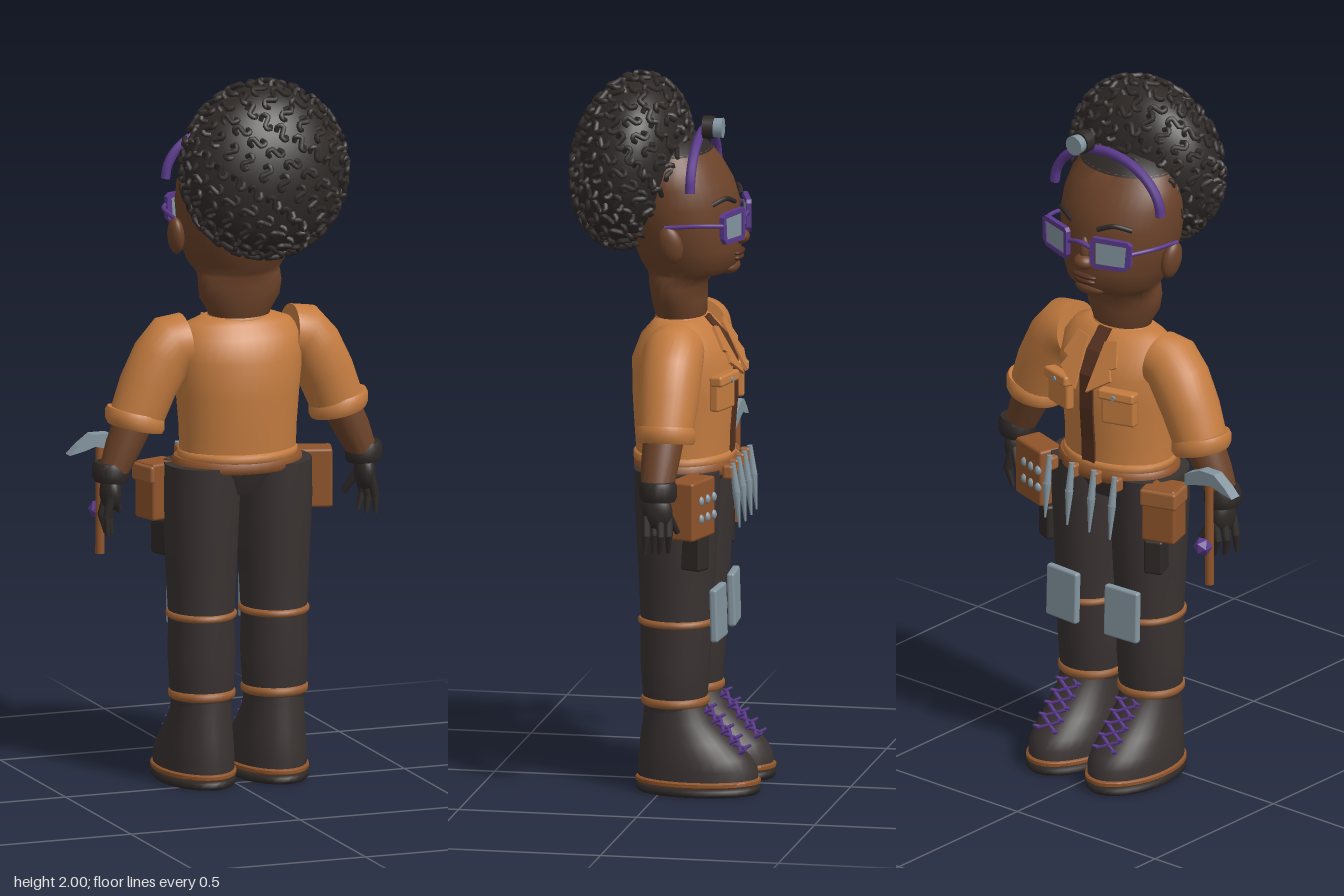
import * as THREE from 'three';
import { mergeGeometries, toCreasedNormals } from 'three/addons/utils/BufferGeometryUtils.js';
import { RoundedBoxGeometry } from 'three/addons/geometries/RoundedBoxGeometry.js';

const paint = (name, color) => Object.assign(new THREE.MeshStandardMaterial({ color }), { name });
const V = (x, y, z) => new THREE.Vector3(x, y, z);

export function createModel() {
  const skin = paint('skin', 0x6b4229), orange = paint('shirt orange', 0xc47c40), brown = paint('leather brown', 0x8f542b);
  const dark = paint('trouser charcoal', 0x393231), black = paint('hair black', 0x2e2927), purple = paint('purple', 0x5b3a8c);
  const silver = paint('silver', 0x84959f), lip = paint('lip brown', 0x54301f), strap = paint('strap brown', 0x9c6034);

  const model = new THREE.Group();
  const body = new THREE.Group();
  body.name = 'figure';
  body.position.x = 0.022;
  model.add(body);

  const add = (name, geo, mat, p = [0, 0, 0], r = [0, 0, 0], s = [1, 1, 1]) => {
    const m = new THREE.Mesh(geo, mat);
    m.name = name;
    m.position.set(...p); m.rotation.set(...r); m.scale.set(...s);
    body.add(m);
    return m;
  };

  // closed skin over elliptical rings [y, halfWidth, zFront, zBack, x, tilt], bottom to top
  const loft = (name, mat, rings, seg = 32) => {
    const all = [[...rings[0]], ...rings, [...rings[rings.length - 1]]];
    for (const e of [all[0], all[all.length - 1]]) { e[1] = 0.0001; e[2] = e[3] = (e[2] + e[3]) / 2; }
    const pos = [], idx = [];
    all.forEach(([y, rx, zf, zb, x = 0, t = 0], i) => {
      for (let j = 0; j < seg; j++) {
        const a = j / seg * Math.PI * 2, c = rx * Math.cos(a);
        pos.push(x + c * Math.cos(t), y + c * Math.sin(t), (zf + zb) / 2 + (zb - zf) / 2 * Math.sin(a));
        if (i < all.length - 1) {
          const p = i * seg + j, q = i * seg + (j + 1) % seg;
          idx.push(p, p + seg, q, q, p + seg, q + seg);
        }
      }
    });
    const g = new THREE.BufferGeometry();
    g.setAttribute('position', new THREE.Float32BufferAttribute(pos, 3));
    g.setIndex(idx);
    return add(name, toCreasedNormals(g, 0.9), mat);
  };
  const band = (name, mat, y, h, rx, zf, zb, x = 0, t = 0) => loft(name, mat,
    [[y - h, rx - 0.006, zf + 0.006, zb - 0.006, x, t], [y - h / 2, rx, zf, zb, x, t],
      [y + h / 2, rx, zf, zb, x, t], [y + h, rx - 0.006, zf + 0.006, zb - 0.006, x, t]]);
  const ball = (name, mat, p, s, r) => add(name, new THREE.SphereGeometry(1, 24, 16), mat, p, r, s);
  const box = (name, mat, p, [w, h, d], r, round = 0.008) =>
    add(name, new RoundedBoxGeometry(w, h, d, 2, Math.min(round, w / 3, h / 3, d / 3)), mat, p, r);
  const rod = (name, mat, a, b, r0, r1 = r0, sides = 10) => {
    const p = V(...a), q = V(...b), d = q.clone().sub(p);
    const m = add(name, new THREE.CylinderGeometry(r1, r0, d.length(), sides), mat, p.clone().add(q).multiplyScalar(0.5).toArray());
    m.quaternion.setFromUnitVectors(V(0, 1, 0), d.normalize());
    return m;
  };
  const tube = (name, mat, pts, r, n = 24) =>
    add(name, new THREE.TubeGeometry(new THREE.CatmullRomCurve3(pts.map(p => V(...p))), n, r, 8), mat);
  const plate = (pts, depth) => new THREE.ExtrudeGeometry(new THREE.Shape(pts.map(p => new THREE.Vector2(...p))), { depth, bevelEnabled: false });

  // head and neck
  loft('head', skin, [[1.27, 0.075, -0.08, 0.02], [1.33, 0.09, -0.1, 0.045], [1.37, 0.115, -0.1, 0.052], [1.41, 0.12, -0.1, 0.058],
    [1.437, 0.118, -0.12, 0.06], [1.447, 0.12, -0.165, 0.065], [1.47, 0.136, -0.188, 0.08], [1.52, 0.157, -0.196, 0.1],
    [1.58, 0.172, -0.19, 0.12], [1.64, 0.178, -0.191, 0.13], [1.7, 0.177, -0.172, 0.13], [1.75, 0.166, -0.142, 0.12], [1.79, 0.14, -0.11, 0.1]], 40);
  loft('hairline', black, [[1.785, 0.145, -0.115, 0.1], [1.815, 0.11, -0.085, 0.08], [1.835, 0.05, -0.045, 0.05]]);
  ball('nose', skin, [0, 1.545, -0.193], [0.03, 0.022, 0.028]);
  ball('noseBridge', skin, [0, 1.58, -0.186], [0.015, 0.04, 0.018]);
  ball('upperLip', lip, [0, 1.503, -0.19], [0.042, 0.009, 0.016]);
  ball('lowerLip', lip, [0, 1.488, -0.188], [0.036, 0.01, 0.016]);
  ball('chin', skin, [0, 1.462, -0.165], [0.05, 0.022, 0.028]);

  // hair puff covered with small curls
  const puff = new THREE.Group();
  puff.name = 'hairPuff';
  puff.position.set(0.023, 1.75, 0.105);
  puff.rotation.x = -0.17;
  body.add(puff);
  const R = V(0.228, 0.234, 0.152);
  const core = new THREE.Mesh(new THREE.SphereGeometry(1, 40, 28), black);
  core.name = 'hairCore'; core.scale.copy(R);
  const curl = new THREE.TubeGeometry(new THREE.CatmullRomCurve3([V(-0.014, -0.006, -0.004), V(-0.022, 0.006, 0.008),
    V(-0.008, 0.013, 0.011), V(0.002, 0, 0.011), V(0.012, -0.012, 0.011), V(0.023, -0.004, 0.008), V(0.015, 0.008, -0.004)]), 14, 0.0075, 6);
  const curls = [], N = 190;
  for (let i = 0; i < N; i++) {
    const y = 1 - (i + 0.5) / N * 2, a = i * 2.39996, w = Math.sqrt(1 - y * y);
    const d = V(w * Math.cos(a), y, w * Math.sin(a));
    const q = new THREE.Quaternion().setFromUnitVectors(V(0, 0, 1), d.clone().divide(R).normalize());
    q.multiply(new THREE.Quaternion().setFromAxisAngle(V(0, 0, 1), i * 1.7));
    curls.push(curl.clone().applyMatrix4(new THREE.Matrix4().compose(d.multiply(R), q, V(1, 1, 1))));
  }
  const curlMesh = new THREE.Mesh(mergeGeometries(curls), black);
  curlMesh.name = 'hairCurls';
  puff.add(core, curlMesh);

  // headband with lamp
  const arc = [];
  for (let i = 0; i <= 12; i++) { const a = Math.PI * i / 12; arc.push([0.192 * Math.cos(a), 1.7 + 0.14 * Math.sin(a), -0.092]); }
  tube('headband', purple, arc, 0.014, 40);
  rod('lampHousing', black, [0.066, 1.862, -0.105], [0.066, 1.862, -0.135], 0.032, 0.032, 20);
  rod('lampLens', silver, [0.066, 1.862, -0.134], [0.066, 1.862, -0.16], 0.026, 0.028, 20);

  // shirt
  const torso = [[0.93, 0.165, -0.17, 0.093], [1, 0.166, -0.172, 0.098], [1.1, 0.174, -0.18, 0.104], [1.2, 0.184, -0.18, 0.105],
    [1.265, 0.18, -0.15, 0.08], [1.3, 0.15, -0.115, 0.05], [1.318, 0.1, -0.1, 0.035]];
  loft('shirt', orange, torso, 40);
  band('collar', orange, 1.31, 0.012, 0.092, -0.102, 0.042);
  const front = torso.map(r => [0.005 - r[2], r[0]]);
  add('undershirt', plate([...front, [0.03, 1.318], [0.03, 0.93]], 0.045), lip, [-0.0225, 0, 0], [0, Math.PI / 2, 0]);
  band('shirtHem', orange, 0.93, 0.014, 0.17, -0.178, 0.102);
  band('belt', brown, 0.906, 0.018, 0.185, -0.185, 0.1);
  loft('hips', dark, [[0.82, 0.12, -0.12, 0.04], [0.88, 0.18, -0.15, 0.07], [0.91, 0.18, -0.16, 0.08]]);

  for (const s of [1, -1]) {
    // face details
    ball('ear', skin, [s * 0.183, 1.55, -0.035], [0.022, 0.054, 0.034], [0.2, 0, s * -0.1]);
    tube('eyebrow', black, [[s * 0.045, 1.652, -0.188], [s * 0.09, 1.668, -0.172], [s * 0.13, 1.655, -0.14]], 0.007);
    const rim = new THREE.Shape([[-0.06, -0.032], [-0.05, -0.046], [0.045, -0.042], [0.062, -0.025], [0.064, 0.036], [0.052, 0.046], [-0.052, 0.046], [-0.06, 0.036]].map(p => new THREE.Vector2(s * p[0], p[1])));
    rim.holes.push(new THREE.Path([[-0.045, -0.032], [0.044, -0.029], [0.049, 0.032], [-0.046, 0.032]].map(p => new THREE.Vector2(s * p[0], p[1]))));
    add('glassesRim', new THREE.ExtrudeGeometry(rim, { depth: 0.014, bevelEnabled: false }), purple, [s * 0.1, 1.592, -0.2], [0, s * -0.3, 0]);
    box('glassesLens', silver, [s * 0.1, 1.592, -0.192], [0.096, 0.068, 0.008], [0, s * -0.3, 0]);
    tube('glassesTemple', purple, [[s * 0.16, 1.605, -0.178], [s * 0.186, 1.608, -0.12], [s * 0.19, 1.6, -0.02]], 0.006);

    // lapel and chest pocket
    add('lapel', plate([[s * 0.02, -0.07], [s * 0.09, -0.02], [s * 0.075, 0.01], [s * 0.095, 0.02], [s * 0.07, 0.09], [s * 0.03, 0.08]], 0.008), orange,
      [0, 1.225, -0.178], [0.5, 0, 0]);
    box('chestPocket', orange, [s * 0.105, 1.12, -0.165], [0.1, 0.085, 0.03], [0, s * -0.3, 0]);
    box('pocketFlap', orange, [s * 0.105, 1.165, -0.172], [0.11, 0.03, 0.04], [0.1, s * -0.3, 0]);
    rod('pocketButton', silver, [s * 0.105, 1.163, -0.185], [s * 0.107, 1.163, -0.197], 0.007);

    // arm
    loft('sleeve', orange, [[1.04, 0.076, -0.12, 0.03, s * 0.297, s * 0.25], [1.13, 0.08, -0.128, 0.037, s * 0.262, s * 0.4],
      [1.2, 0.084, -0.13, 0.04, s * 0.225, s * 0.65], [1.245, 0.084, -0.13, 0.04, s * 0.19, s * 1.05], [1.25, 0.078, -0.125, 0.035, s * 0.155, s * 1.45]]);
    band('sleeveCuff', orange, 1.04, 0.024, 0.084, -0.128, 0.038, s * 0.3, s * 0.22);
    loft('forearm', skin, [[0.9, 0.04, -0.08, 0.01, s * 0.367, s * 0.3], [0.97, 0.05, -0.09, 0.015, s * 0.336, s * 0.35], [1.05, 0.055, -0.1, 0.015, s * 0.297, s * 0.35]]);
    band('gloveCuff', black, 0.898, 0.027, 0.052, -0.092, 0.012, s * 0.373, s * 0.05);
    ball('palm', black, [s * 0.375, 0.84, -0.038], [0.028, 0.052, 0.042]);
    for (let i = 0; i < 4; i++) {
      const z = -0.068 + i * 0.02, x = 0.37 + (i % 2) * 0.014;
      rod('finger', black, [s * x, 0.83, z], [s * (x + 0.012), 0.775, z - 0.003], 0.012);
      rod('fingertip', black, [s * (x + 0.012), 0.778, z - 0.003], [s * (x - 0.004 + i * 0.005), 0.725, z + 0.002], 0.011, 0.006);
    }
    rod('thumb', black, [s * 0.365, 0.84, -0.06], [s * 0.33, 0.775, -0.085], 0.014, 0.008);

    // leg with straps and knee plate
    const x = s * 0.107;
    loft('trouserLeg', dark, [[0.22, 0.08, -0.115, 0.05, x], [0.26, 0.088, -0.122, 0.055, x], [0.36, 0.094, -0.13, 0.062, x], [0.48, 0.09, -0.138, 0.062, x],
      [0.62, 0.098, -0.145, 0.068, x], [0.8, 0.105, -0.155, 0.078, x], [0.905, 0.103, -0.158, 0.08, x]]);
    band('kneeStrap', strap, 0.48, 0.01, 0.097, -0.145, 0.069, x);
    band('shinStrap', strap, 0.257, 0.013, 0.093, -0.128, 0.061, x);
    box('kneePlate', silver, [x, 0.505, -0.155], [0.115, 0.15, 0.022], [0.03, s * -0.06, 0]);

    // boot with laces
    loft('boot', dark, [[0.03, 0.102, -0.266, 0.07, x], [0.07, 0.102, -0.264, 0.07, x], [0.1, 0.1, -0.245, 0.068, x], [0.145, 0.092, -0.198, 0.064, x],
      [0.2, 0.084, -0.145, 0.056, x], [0.25, 0.082, -0.12, 0.052, x]]);
    band('bootSole', black, 0.012, 0.012, 0.107, -0.272, 0.076, x);
    band('bootWelt', brown, 0.034, 0.009, 0.108, -0.273, 0.077, x);
    for (let i = 0; i < 5; i++) {
      const y = 0.115 + i * 0.028, z = -0.225 + i * 0.024;
      for (const k of [1, -1]) rod('lace', purple, [x - k * 0.032, y, z], [x + k * 0.032, y + 0.028, z + 0.024], 0.0055, 0.0055, 6);
      for (const k of [1, -1]) rod('laceLoop', purple, [x + k * 0.03, y, z + 0.008], [x + k * 0.036, y + 0.012, z - 0.014], 0.006, 0.004, 6);
    }

    // lower belt pouch
    box('darkPouch', black, [s * 0.185, 0.69, -0.1], [0.055, 0.1, 0.075], [0, s * -0.4, 0]);
  }
  tube('glassesBridge', purple, [[-0.045, 1.6, -0.207], [0, 1.61, -0.212], [0.045, 1.6, -0.207]], 0.007);

  // belt pouches
  box('toolPouch', brown, [0.235, 0.825, -0.105], [0.13, 0.165, 0.08], [0, -0.3, 0]);
  for (let i = 0; i < 6; i++) ball('pouchStud', silver, [0.195 + (i % 3) * 0.034, 0.85 - Math.floor(i / 3) * 0.05, -0.158 + (i % 3) * 0.011], [0.011, 0.014, 0.01]);
  box('flapPouch', brown, [-0.21, 0.825, -0.1], [0.1, 0.16, 0.085], [0, 0.3, 0]);
  box('pouchFlap', strap, [-0.213, 0.875, -0.104], [0.108, 0.05, 0.092], [0, 0.3, 0]);

  // hanging tools
  for (const x of [0.12, 0.04, -0.04, -0.115]) {
    box('toolLoop', strap, [x, 0.905, -0.185], [0.024, 0.04, 0.03]);
    rod('toolGrip', silver, [x, 0.85, -0.208], [x, 0.93, -0.197], 0.011, 0.008);
    rod('toolBlade', silver, [x, 0.75, -0.217], [x, 0.85, -0.208], 0.003, 0.012);
  }

  // pick hammer
  rod('hammerHandle', brown, [-0.38, 0.655, -0.105], [-0.38, 0.99, -0.105], 0.013, 0.012);
  add('hammerHead', plate([[-0.475, 0.94], [-0.43, 0.95], [-0.4, 0.96], [-0.335, 0.945], [-0.305, 0.935], [-0.305, 0.97], [-0.36, 0.995], [-0.41, 0.995], [-0.45, 0.965]], 0.034), silver, [0, 0, -0.122]);
  add('hammerGem', new THREE.IcosahedronGeometry(0.027, 0), purple, [-0.378, 0.775, -0.13]);

  return model;
}
